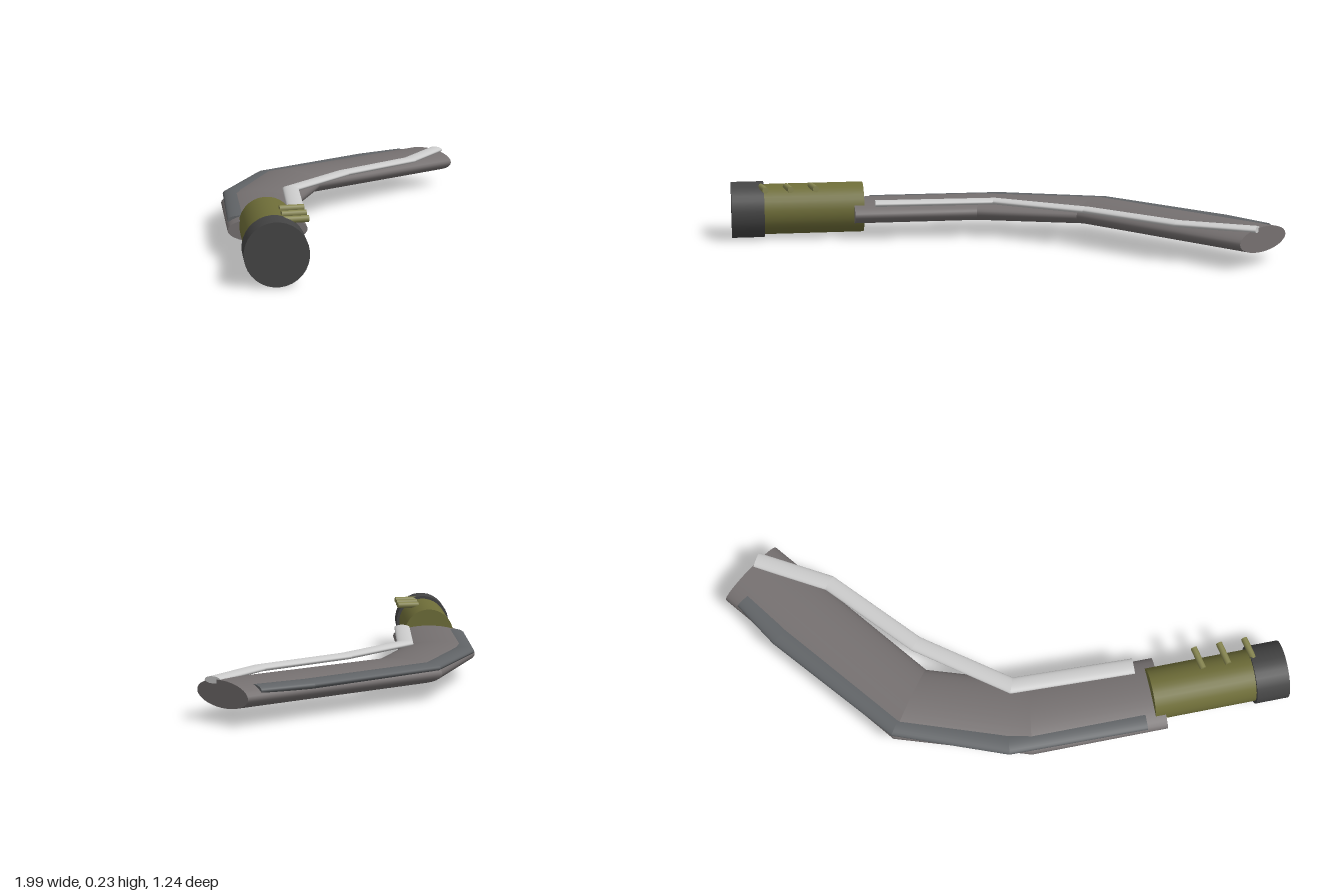
import * as THREE from 'three';

const material = (color) => new THREE.MeshStandardMaterial({ color });

// Elliptical tube along a bent [x, z] path at height y, with sharp mitred joints and flat ends.
function bentTube(path, y, halfWidth, halfHeight, sides = 32) {
  const pts = path.map(([x, z]) => new THREE.Vector2(x, z));
  const dirs = pts.slice(1).map((p, i) => p.clone().sub(pts[i]).normalize());
  const positions = [], index = [];

  const addRing = (k) => {
    const before = dirs[Math.max(k - 1, 0)];
    const after = dirs[Math.min(k, dirs.length - 1)];
    const d = before.clone().add(after).normalize();
    const w = halfWidth / d.dot(after);
    const start = positions.length / 3;
    for (let i = 0; i < sides; i++) {
      const a = (i / sides) * Math.PI * 2;
      const s = w * Math.cos(a);
      positions.push(pts[k].x - d.y * s, y + halfHeight * Math.sin(a), pts[k].y + d.x * s);
    }
    return start;
  };

  // Straight sections, each with its own rings so that the joints stay crisp
  for (let k = 0; k < dirs.length; k++) {
    const r0 = addRing(k), r1 = addRing(k + 1);
    for (let i = 0; i < sides; i++) {
      const j = (i + 1) % sides;
      index.push(r0 + i, r1 + i, r0 + j, r0 + j, r1 + i, r1 + j);
    }
  }

  // Flat end faces
  for (const k of [0, pts.length - 1]) {
    const r = addRing(k), c = positions.length / 3;
    positions.push(pts[k].x, y, pts[k].y);
    for (let i = 0; i < sides; i++) {
      const j = (i + 1) % sides;
      if (k === 0) index.push(c, r + i, r + j);
      else index.push(c, r + j, r + i);
    }
  }

  const geometry = new THREE.BufferGeometry();
  geometry.setAttribute('position', new THREE.Float32BufferAttribute(positions, 3));
  geometry.setIndex(index);
  geometry.computeVertexNormals();
  return geometry;
}

export function createModel() {
  const model = new THREE.Group();
  const add = (name, geometry, color) => {
    const mesh = new THREE.Mesh(geometry, material(color));
    mesh.name = name;
    model.add(mesh);
    return mesh;
  };

  // Flattened bent body
  add('body', bentTube([[-0.6, 0.17], [-0.27, -0.225], [0.13, -0.475], [0.975, -0.452]], 0.1, 0.147, 0.048), 0x757070);

  // Dark spine along the outer curve
  add('outerSpine', bentTube([[-0.625, 0.046], [-0.275, -0.362], [0.11, -0.578], [0.7, -0.58], [0.91, -0.55]],
    0.122, 0.045, 0.017, 24), 0x606366);

  // Pale cutting edge along the inner curve
  add('innerEdge', bentTube([[-0.46, 0.18], [-0.14, -0.18], [0.26, -0.28], [0.69, -0.298], [0.98, -0.405]],
    0.145, 0.032, 0.0125, 24), 0xcccccc);

  // Round grip and end cap on a shared slanted axis
  const gripEnd = new THREE.Vector3(-0.915, 0.1135, 0.545);
  const axis = new THREE.Vector3(0.64, 0, -0.767).normalize();
  const side = new THREE.Vector3(-axis.z, 0, axis.x);
  const up = new THREE.Vector3(0, 1, 0);
  const along = (mesh, center, direction) => {
    mesh.position.copy(center);
    mesh.quaternion.setFromUnitVectors(up, direction);
  };
  const cylinder = (name, radius, from, to, color) => along(
    add(name, new THREE.CylinderGeometry(radius, radius, to - from, 32), color),
    gripEnd.clone().addScaledVector(axis, (from + to) / 2), axis);
  cylinder('grip', 0.102, 0.02, 0.53, 0x6e6d38);
  cylinder('endCap', 0.1135, 0, 0.13, 0x444444);

  // Three small pegs on the upper side of the grip
  const pegDirection = new THREE.Vector3(0.87, 0, 0.49).normalize();
  for (let i = 0; i < 3; i++) {
    const center = gripEnd.clone().addScaledVector(axis, 0.127 + i * 0.1).addScaledVector(side, 0.076);
    center.y = 0.211;
    along(add('gripPeg' + (i + 1), new THREE.CylinderGeometry(0.0125, 0.0125, 0.09, 16), 0x85844f), center, pegDirection);
  }

  return model;
}
